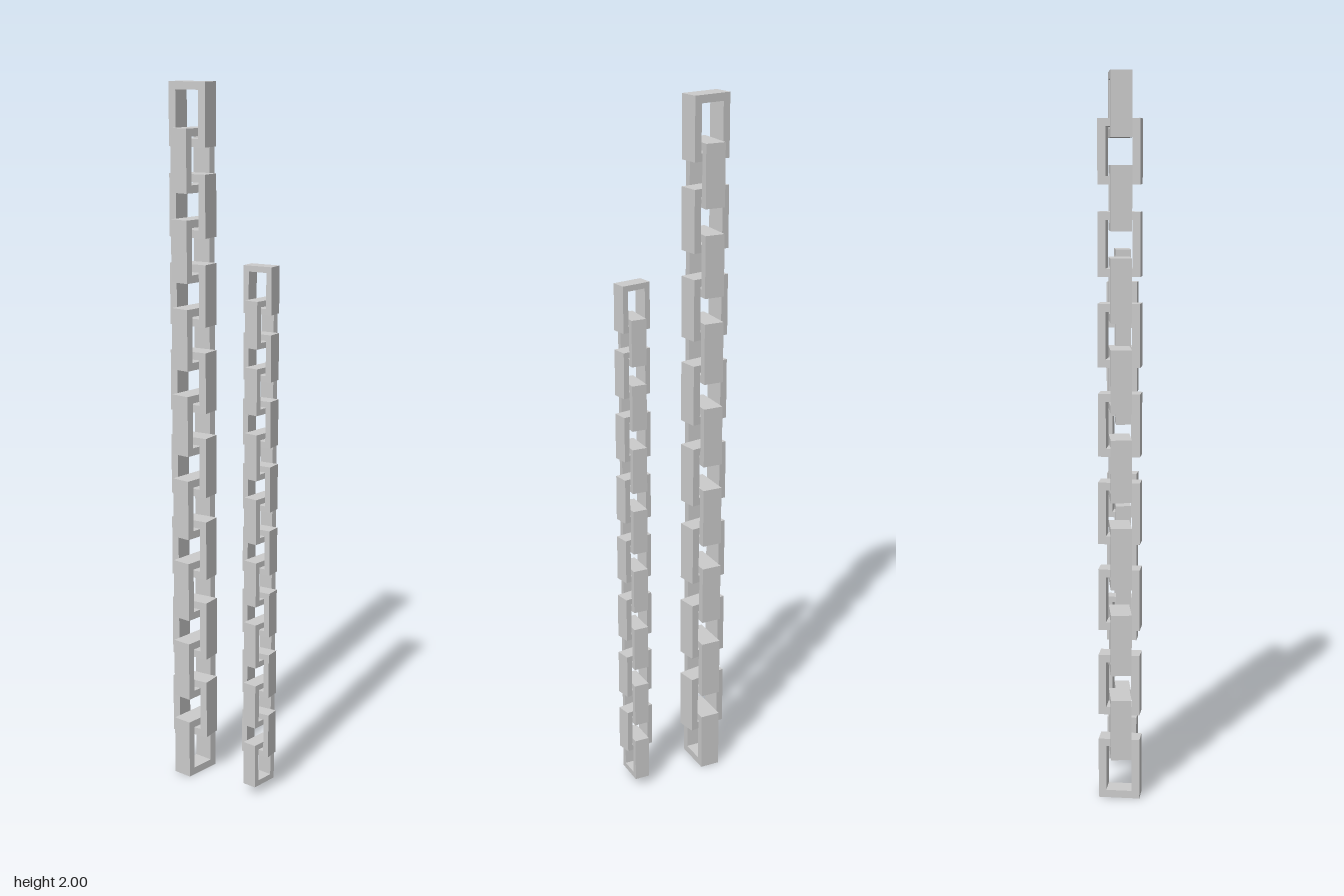
import * as THREE from 'three';

const LINKS = 16, TILT = THREE.MathUtils.degToRad(5);
const U = 2 / 279; // one unit: a link is 16 wide, 24 high, 8 deep, 3 thick, spaced by 17

function rectangle(target, w, h) {
  target.moveTo(-w / 2, -h / 2);
  target.lineTo(w / 2, -h / 2);
  target.lineTo(w / 2, h / 2);
  target.lineTo(-w / 2, h / 2);
  target.closePath();
  return target;
}

// Rectangular chain link with a rectangular opening, centred on its origin
function linkGeometry() {
  const shape = rectangle(new THREE.Shape(), 16, 24);
  shape.holes.push(rectangle(new THREE.Path(), 10, 18));
  const geometry = new THREE.ExtrudeGeometry(shape, { depth: 8, bevelEnabled: false });
  return geometry.translate(0, 0, -4);
}

// Hanging chain whose links alternate between facing front and facing sideways
function makeChain(name, geometry, material, scale, x, y) {
  const chain = new THREE.Group();
  chain.name = name;
  for (let i = 0; i < LINKS; i++) {
    const sideways = i % 2 === 0;
    const link = new THREE.Mesh(geometry, material);
    link.name = sideways ? 'sidewaysLink' : 'frontLink';
    link.position.y = 12 + i * 17;
    link.rotation.y = sideways ? Math.PI / 2 - TILT : TILT;
    chain.add(link);
  }
  chain.scale.setScalar(U * scale);
  chain.position.set(x, y, 0);
  return chain;
}

export function createModel() {
  const model = new THREE.Group();
  model.name = 'chains';
  const material = new THREE.MeshStandardMaterial({ color: 0xcccccc, flatShading: true });
  const geometry = linkGeometry();
  model.add(
    makeChain('longChain', geometry, material, 1, -0.107, 0),
    makeChain('shortChain', geometry, material, 0.75, 0.122, 0.024)
  );
  return model;
}
